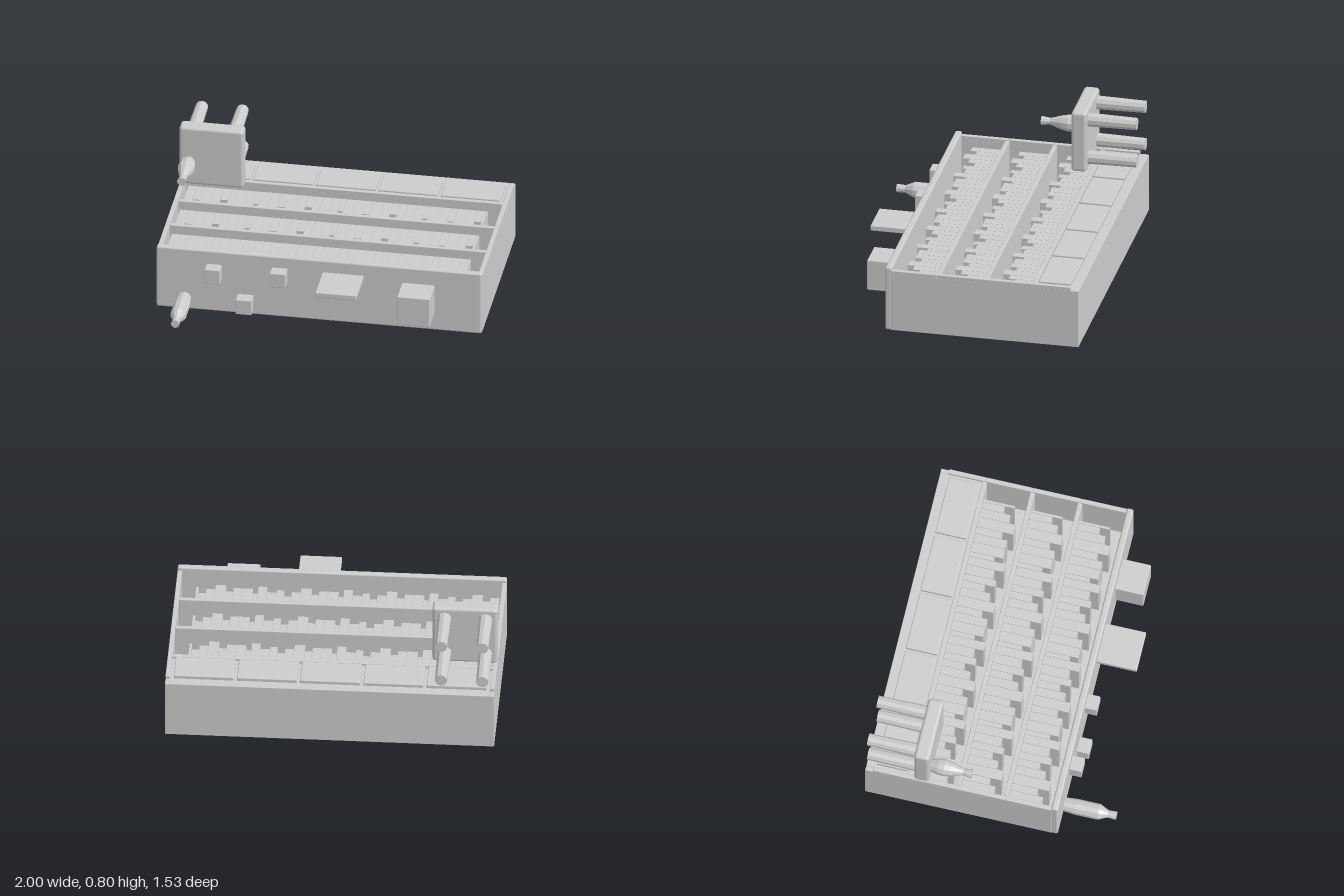
import * as THREE from 'three';
import { RoundedBoxGeometry } from 'three/addons/geometries/RoundedBoxGeometry.js';

const grey = new THREE.MeshStandardMaterial({ color: 0xcccccc });
grey.name = 'plain grey';
// low-poly turned parts use the same colour with flat facets
const facetedGrey = grey;

export function createModel() {
  const root = new THREE.Group();
  root.name = 'bookcaseAndStool';

  // box given by its limits; r is the rounding of its edges
  function box(name, x0, x1, y0, y1, z0, z1, r = 0, parent = root) {
    const w = x1 - x0, h = y1 - y0, d = z1 - z0;
    const geo = r ? new RoundedBoxGeometry(w, h, d, 2, r) : new THREE.BoxGeometry(w, h, d);
    const mesh = new THREE.Mesh(geo, grey);
    mesh.position.set((x0 + x1) / 2, (y0 + y1) / 2, (z0 + z1) / 2);
    mesh.name = name;
    parent.add(mesh);
    return mesh;
  }

  // faceted turned part along +z; profile is [radius, distance]
  function turned(name, x, y, z, profile, sides, parent = root) {
    const pts = profile.map(([r, t]) => new THREE.Vector2(r, t));
    const geo = new THREE.LatheGeometry(pts, sides).rotateX(Math.PI / 2).toNonIndexed();
    geo.computeVertexNormals();
    const mesh = new THREE.Mesh(geo, facetedGrey);
    mesh.position.set(x, y, z);
    mesh.name = name;
    parent.add(mesh);
    return mesh;
  }

  // Bookcase lying on its back: the open side faces up
  const carcass = new THREE.Group();
  carcass.name = 'carcass';
  root.add(carcass);
  box('backPanel', -0.975, 0.975, 0.003, 0.04, -0.755, 0.4, 0, carcass);
  box('topBoard', -1, 1, 0.003, 0.42, 0.395, 0.437, 0.012, carcass);
  box('plinth', -0.972, 0.972, 0.003, 0.378, -0.763, -0.715, 0.004, carcass);

  const shelfZ = [-0.484, -0.187, 0.109];
  const stops = [-0.713, ...shelfZ, 0.397];
  for (const s of [-1, 1]) {
    const lo = Math.min(s, s * 0.972), hi = Math.max(s, s * 0.972);
    box('sidePanel', lo, hi, 0.003, 0.378, -0.763, 0.4, 0.004, carcass);
    // facing strips, one for each bay
    for (let i = 0; i < 4; i++) {
      box('facingStrip', lo, hi, 0.374, 0.4, stops[i], stops[i + 1], 0.004, carcass);
    }
  }

  // Shelves
  for (const z of shelfZ) box('shelf', -0.972, 0.972, 0.03, 0.395, z - 0.014, z + 0.014, 0.004, carcass);

  // Drawers along the foot
  box('drawerBody', -0.972, 0.972, 0.04, 0.378, -0.72, -0.49, 0, carcass);
  for (let i = -2; i <= 2; i++) {
    const x = i * 0.384;
    box('drawerFront', x - 0.182, x + 0.182, 0.37, 0.4, -0.703, -0.506, 0.006, carcass);
  }

  // Books: [thickness, height], repeated along every shelf
  const sizes = [
    [0.055, 0.2], [0.045, 0.16], [0.065, 0.225], [0.055, 0.18], [0.045, 0.135],
    [0.045, 0.195], [0.06, 0.17], [0.055, 0.225], [0.03, 0.15], [0.065, 0.2],
  ];
  const books = new THREE.Group();
  books.name = 'books';
  root.add(books);
  for (const z of shelfZ) {
    let x = -0.96;
    for (let i = 0; x < 0.87; i++) {
      const [w, h] = sizes[i % sizes.length];
      const end = Math.min(x + w, 0.882);
      box('book', x + 0.001, end - 0.001, 0.04, 0.335, z + 0.014, z + 0.014 + h, 0, books);
      x += w;
    }
  }

  // Ornaments on the top board
  box('smallBox', -0.692, -0.598, 0.23, 0.33, 0.43, 0.512, 0.004);
  box('smallBox', -0.5, -0.403, 0.038, 0.138, 0.43, 0.512, 0.004);
  box('smallBox', -0.29, -0.195, 0.247, 0.343, 0.43, 0.512, 0.004);
  box('flatBook', 0.02, 0.273, 0.305, 0.34, 0.43, 0.687, 0.006);
  box('largeBox', 0.51, 0.71, 0.118, 0.315, 0.43, 0.612, 0.005);
  turned('bottle', -0.828, 0.078, 0.43, [
    [0, 0], [0.042, 0], [0.049, 0.08], [0.049, 0.225], [0.023, 0.28], [0.026, 0.333], [0, 0.333],
  ], 10);

  // Stool lying the same way, with a vase on its seat
  const stool = new THREE.Group();
  stool.name = 'stool';
  root.add(stool);
  box('seat', -1, -0.604, 0.405, 0.8, -0.46, -0.365, 0.02, stool);
  for (const x of [-0.927, -0.677]) {
    for (const y of [0.479, 0.729]) {
      turned('stoolLeg', x, y, -0.76, [[0, 0], [0.038, 0], [0.043, 0.31], [0, 0.31]], 10, stool);
    }
  }
  turned('vase', -0.94, 0.567, -0.37, [
    [0, 0], [0.034, 0], [0.05, 0.05], [0.053, 0.09], [0.045, 0.13], [0.021, 0.205], [0.028, 0.26], [0, 0.26],
  ], 10);

  return root;
}
